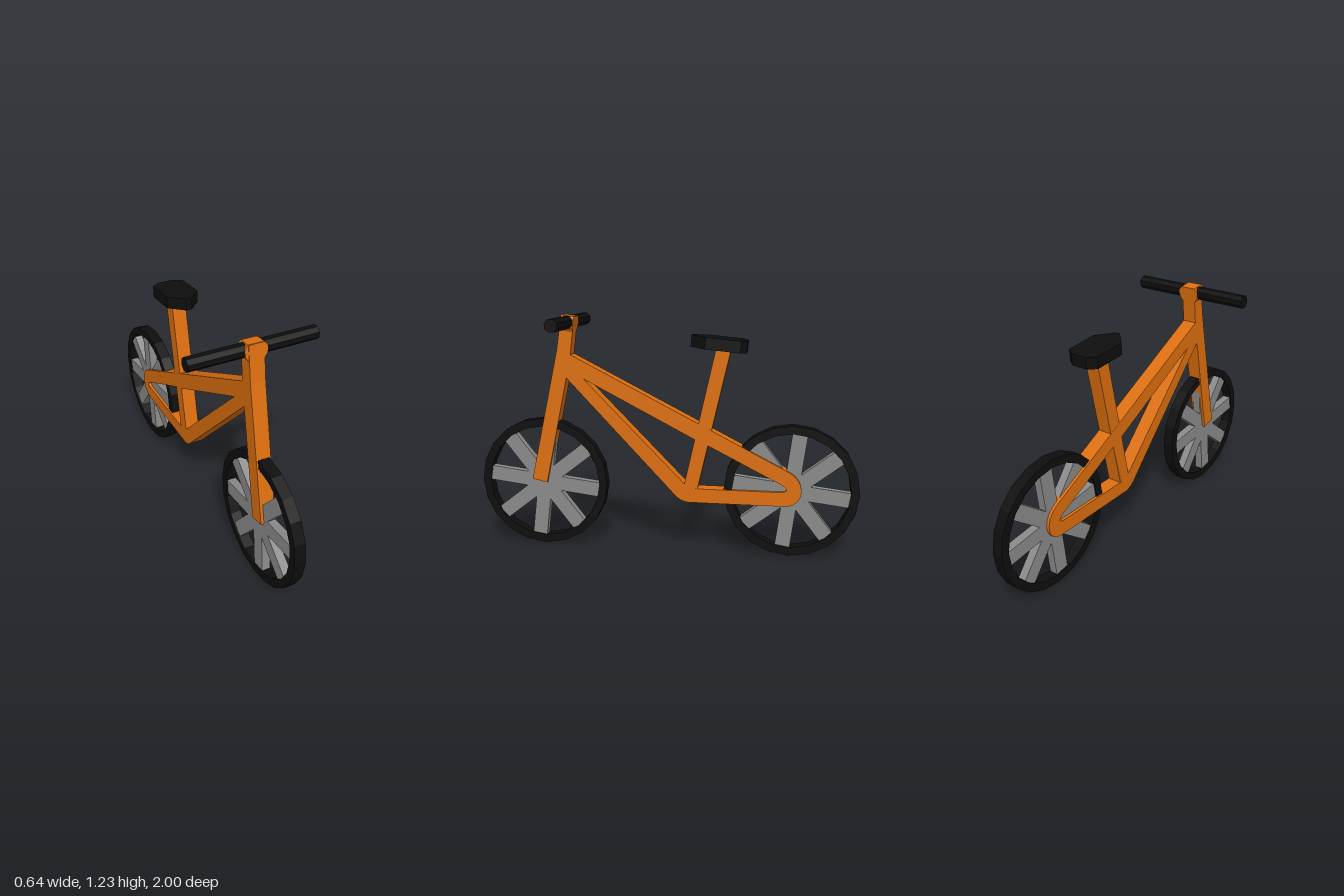
import * as THREE from 'three';

const orange = new THREE.MeshStandardMaterial({ name: 'orange paint', color: 0xdd6f0f });
const black = new THREE.MeshStandardMaterial({ name: 'black rubber', color: 0x0e0e0e });
const grey = new THREE.MeshStandardMaterial({ name: 'grey metal', color: 0x8a8a8a });

const TUBE = 0.076; // tube width across x

function mesh(name, geometry, material) {
  const m = new THREE.Mesh(geometry, material);
  m.name = name;
  return m;
}

function flat(geometry) {
  const g = geometry.toNonIndexed();
  g.computeVertexNormals();
  return g;
}

const points = (list) => list.map(([a, b]) => new THREE.Vector2(a, b));

// Side profile given as (z, y) points, extruded evenly about x = 0
function sidePlate(shape, width) {
  const g = new THREE.ExtrudeGeometry(shape, { depth: width, bevelEnabled: false });
  g.translate(0, 0, -width / 2);
  g.rotateY(-Math.PI / 2);
  return g;
}

function makeWheel(name, z) {
  const wheel = new THREE.Group();
  wheel.name = name;
  const inner = 0.302, outer = 0.345, half = 0.029;
  const section = points([[inner, -half], [outer, -half], [outer, half], [inner, half], [inner, -half]]);
  const tyre = flat(new THREE.LatheGeometry(section, 20));
  tyre.rotateZ(Math.PI / 2);
  wheel.add(mesh('tyre', tyre, black));
  // Four full-width bars make eight spokes
  for (let i = 0; i < 4; i++) {
    const spoke = mesh('spoke', new THREE.BoxGeometry(0.044, 0.078, 0.615), grey);
    spoke.rotation.x = -(THREE.MathUtils.degToRad(7) + i * Math.PI / 4);
    wheel.add(spoke);
  }
  wheel.position.set(0, 0.345, z);
  return wheel;
}

function makeFrame() {
  // Outer outline with rounded dropout and bottom bracket
  const s = new THREE.Shape();
  s.moveTo(0.54, 1.055);
  s.lineTo(0.49, 1.03);
  s.lineTo(-0.645, 0.447);
  s.bezierCurveTo(-0.735, 0.4, -0.73, 0.267, -0.62, 0.267);
  s.lineTo(-0.125, 0.267);
  s.quadraticCurveTo(-0.075, 0.272, -0.035, 0.325);
  s.lineTo(0.535, 0.93);
  s.closePath();

  const front = new THREE.Path(points([[0.425, 0.907], [-0.16, 0.603], [-0.105, 0.366]]));
  const rear = new THREE.Path();
  rear.moveTo(-0.225, 0.575);
  rear.lineTo(-0.585, 0.392);
  rear.bezierCurveTo(-0.645, 0.365, -0.645, 0.342, -0.6, 0.342);
  rear.lineTo(-0.165, 0.342);
  rear.closePath();
  s.holes.push(front, rear);
  return mesh('frame', sidePlate(s, TUBE), orange);
}

function makeSaddle() {
  // Plan outline in (x, -z), nose towards the front
  const plan = points([
    [-0.042, 0.148], [-0.085, 0.116], [-0.085, -0.06], [-0.015, -0.138],
    [0.015, -0.138], [0.085, -0.06], [0.085, 0.116], [0.042, 0.148],
  ]);
  const g = new THREE.ExtrudeGeometry(new THREE.Shape(plan), { depth: 0.06, bevelEnabled: false });
  g.translate(0, 0, -0.03);
  g.rotateX(-Math.PI / 2);
  const saddle = mesh('saddle', g, black);
  saddle.position.set(0, 1.097, -0.27);
  saddle.rotation.x = THREE.MathUtils.degToRad(-5.5);
  return saddle;
}

export function createModel() {
  const bike = new THREE.Group();
  bike.name = 'bicycle';

  bike.add(makeWheel('frontWheel', 0.655), makeWheel('rearWheel', -0.655));
  bike.add(makeFrame());

  // Fork and stem in one bar, bent at the head
  const fork = new THREE.Shape(points([
    [0.718, 0.36], [0.638, 0.342], [0.493, 1.016], [0.467, 1.222], [0.535, 1.232], [0.563, 1.053],
  ]));
  bike.add(mesh('forkAndStem', sidePlate(fork, TUBE), orange));

  const seatTube = new THREE.Shape(points([
    [-0.1, 0.345], [-0.262, 1.08], [-0.335, 1.065], [-0.172, 0.335],
  ]));
  bike.add(mesh('seatTube', sidePlate(seatTube, TUBE - 0.001), orange));
  bike.add(makeSaddle());

  // Clamp around the handlebar
  const clampShape = new THREE.Shape(points([
    [-0.038, 1.15], [0.038, 1.15], [0.055, 1.175], [0.055, 1.212],
    [0.04, 1.23], [-0.04, 1.23], [-0.055, 1.212], [-0.055, 1.175],
  ]));
  const clamp = new THREE.ExtrudeGeometry(clampShape, { depth: 0.068, bevelEnabled: false });
  clamp.translate(0, -1.196, -0.034);
  const clampMesh = mesh('handlebarClamp', clamp, orange);
  clampMesh.position.set(0, 1.196, 0.503);
  clampMesh.rotation.x = THREE.MathUtils.degToRad(-8);
  bike.add(clampMesh);

  const bar = flat(new THREE.CylinderGeometry(0.034, 0.034, 0.64, 8));
  bar.rotateY(Math.PI / 8);
  bar.rotateZ(Math.PI / 2);
  const handlebar = mesh('handlebar', bar, black);
  handlebar.position.set(0, 1.196, 0.503);
  bike.add(handlebar);

  return bike;
}
